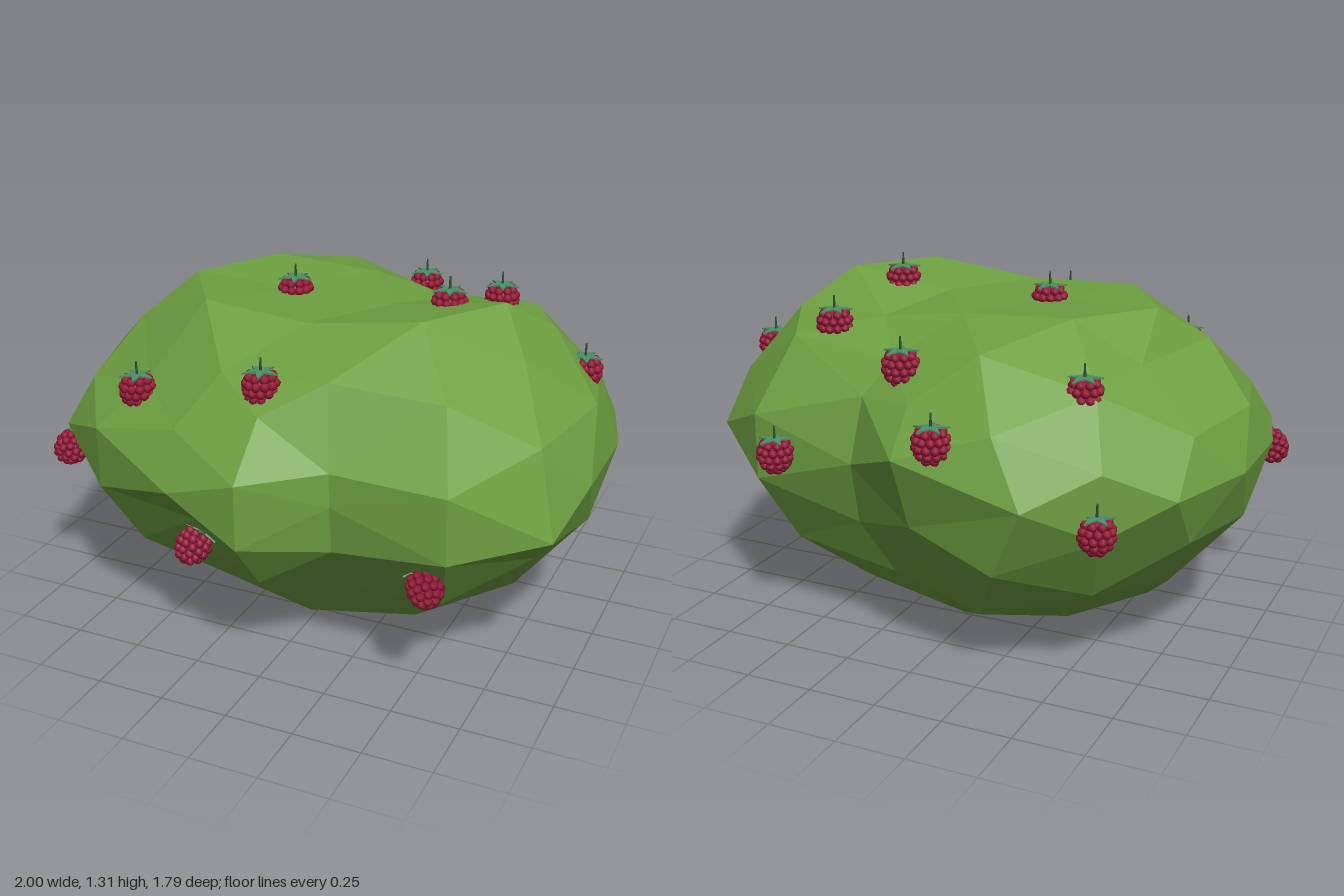
import * as THREE from 'three';
import { mergeGeometries } from 'three/addons/utils/BufferGeometryUtils.js';

// Local dents and bulges: unit direction on the sphere, then where that corner sits
const CORNERS = [
  // upper back
  [0.4, 0.86, -0.33, 0.33, 1.14, -0.27], [0.2, 0.73, -0.65, 0.16, 1.06, -0.53],
  [0, 0.53, -0.85, 0, 0.97, -0.72], [0.58, 0.58, -0.58, 0.58, 1.09, -0.48],
  [-0.36, 0, -0.93, -0.46, 0.71, -0.86], [-0.73, 0.65, -0.2, -0.64, 1.06, -0.25],
  [-0.85, 0, -0.53, -0.88, 0.71, -0.55],
  // lower back
  [0.33, -0.4, -0.86, 0.27, 0.47, -0.6], [0, -0.2, -0.98, -0.02, 0.56, -0.77],
  [0, -0.53, -0.85, 0, 0.4, -0.67], [0.2, -0.73, -0.65, 0.18, 0.26, -0.51],
  // upper front
  [0, 0.53, 0.85, 0, 0.99, 0.71], [0.2, 0.73, 0.65, 0.2, 1.1, 0.59], [-0.2, 0.73, 0.65, -0.2, 1.07, 0.58],
  [0.33, 0.4, 0.86, 0.25, 0.83, 0.7], [-0.33, 0.4, 0.86, -0.31, 0.9, 0.73],
  [-0.58, 0.58, 0.58, -0.54, 0.96, 0.5], [-0.86, 0.33, 0.4, -0.86, 0.87, 0.37],
  [-0.36, 0, 0.93, -0.28, 0.72, 0.85],
  // lower front
  [0.85, 0, 0.53, 0.95, 0.61, 0.47], [0, -0.53, 0.85, 0, 0.38, 0.73],
  [0.33, -0.4, 0.86, 0.25, 0.53, 0.68], [-0.33, -0.4, 0.86, -0.28, 0.53, 0.66],
  [0.2, -0.73, 0.65, 0.15, 0.3, 0.5], [-0.2, -0.73, 0.65, -0.18, 0.27, 0.48],
];

// Berry centres
const BERRIES = [
  [-0.14, 0.89, -0.83], [0.09, 1.06, -0.6], [-0.54, 1.02, -0.52], [-0.66, 0.62, -0.7],
  [0.55, 0.71, -0.69], [0.47, 1.12, -0.39], [0.85, 0.96, -0.2], [0.4, 1.21, 0],
  [-0.19, 1.185, 0.02], [-0.55, 0.94, 0.56], [-0.03, 1.06, 0.62], [-0.93, 0.6, 0.45],
  [-0.31, 0.41, 0.64], [0.58, 0.46, 0.66],
];

// Faceted leafy mass: a subdivided icosahedron, squashed and dented
function bushGeometry() {
  const geo = new THREE.IcosahedronGeometry(1, 2);
  const pos = geo.attributes.position;
  const d = new THREE.Vector3();
  const near = (a, b) => Math.abs(Math.abs(a) - b) < 0.01;
  for (let i = 0; i < pos.count; i++) {
    d.fromBufferAttribute(pos, i);
    const c = CORNERS.find(k => Math.hypot(d.x - k[0], d.y - k[1], d.z - k[2]) < 0.06);
    if (c) {
      pos.setXYZ(i, c[3], c[4], c[5]);
      continue;
    }
    // Top is flatter than the bottom and rises to the left; depth varies a little
    const sy = d.y > 0 ? 0.52 + 0.1 * d.y + 0.05 * d.x : 0.6 - 0.12 * d.y;
    let sx = 1.02;
    let sz = d.z > 0 ? (d.x > 0.6 ? 0.97 : 0.91) : (d.x < -0.1 ? 0.93 : 0.87);
    // The main icosahedron corners reach further sideways
    if (near(d.x, 0.526) && near(d.y, 0.851)) sx = 1.16;
    if (near(d.x, 0.851) && near(d.z, 0.526)) sx = 1.08;
    // Upright valleys in front and behind
    if (d.x > 0.3 && Math.abs(d.z) > 0.8) {
      sx *= 0.7;
      sz *= 0.83;
    }
    // Saddle across the crown
    const top = Math.abs(d.x) < 0.25 ? 1.19 : 1.25;
    pos.setXYZ(i, d.x * sx, Math.min(0.71 + d.y * sy, top), d.z * sz);
  }
  geo.computeVertexNormals();
  return geo;
}

// Cluster of small beads in staggered rings around a core
function fruitGeometry() {
  const parts = [new THREE.SphereGeometry(0.05, 10, 8)];
  const rings = [[0.041, 0.038, 8], [0.051, 0.016, 11], [0.051, -0.009, 11], [0.042, -0.033, 9], [0.024, -0.052, 5], [0, -0.058, 1]];
  rings.forEach(([r, y, n], row) => {
    for (let i = 0; i < n; i++) {
      const a = ((i + (row % 2) / 2) / n) * Math.PI * 2;
      parts.push(new THREE.SphereGeometry(0.0165, 7, 5).translate(r * Math.cos(a), y, r * Math.sin(a)));
    }
  });
  return mergeGeometries(parts);
}

// Five-pointed leafy cap, drooping at the tips
function calyxGeometry() {
  const star = new THREE.Shape();
  for (let i = 0; i < 10; i++) {
    const a = (i / 10) * Math.PI * 2, r = i % 2 ? 0.025 : 0.064;
    star[i ? 'lineTo' : 'moveTo'](r * Math.cos(a), r * Math.sin(a));
  }
  star.closePath();
  const geo = new THREE.ExtrudeGeometry(star, { depth: 0.006, bevelEnabled: false });
  geo.rotateX(-Math.PI / 2);
  const pos = geo.attributes.position;
  for (let i = 0; i < pos.count; i++) {
    const r = Math.hypot(pos.getX(i), pos.getZ(i));
    pos.setY(i, pos.getY(i) + 0.058 - r * 0.15);
  }
  geo.computeVertexNormals();
  return geo;
}

export function createModel() {
  const model = new THREE.Group();
  model.name = 'berryBush';
  const leafMat = new THREE.MeshStandardMaterial({ color: 0x6ea041, flatShading: true });
  const fruitMat = new THREE.MeshStandardMaterial({ color: 0x941735 });
  const capMat = new THREE.MeshStandardMaterial({ color: 0x4b8f66, flatShading: true, side: THREE.DoubleSide });
  const stemMat = new THREE.MeshStandardMaterial({ color: 0x2f4f35 });

  const add = (parent, name, geo, mat) => {
    const mesh = new THREE.Mesh(geo, mat);
    mesh.name = name;
    parent.add(mesh);
  };
  add(model, 'foliage', bushGeometry(), leafMat);

  const fruit = fruitGeometry();
  const calyx = calyxGeometry();
  const stem = new THREE.CylinderGeometry(0.003, 0.005, 0.05, 6).translate(0, 0.08, 0);
  BERRIES.forEach(([x, y, z], i) => {
    const berry = new THREE.Group();
    berry.name = 'berry' + (i + 1);
    berry.position.set(x, y, z);
    // Low berries lean their caps into the foliage
    if (y < 0.61) {
      const axis = new THREE.Vector3(-z, 0, x).normalize();
      berry.quaternion.setFromAxisAngle(axis, 0.8);
    }
    add(berry, 'fruit', fruit, fruitMat);
    add(berry, 'calyx', calyx, capMat);
    add(berry, 'stem', stem, stemMat);
    model.add(berry);
  });
  return model;
}
